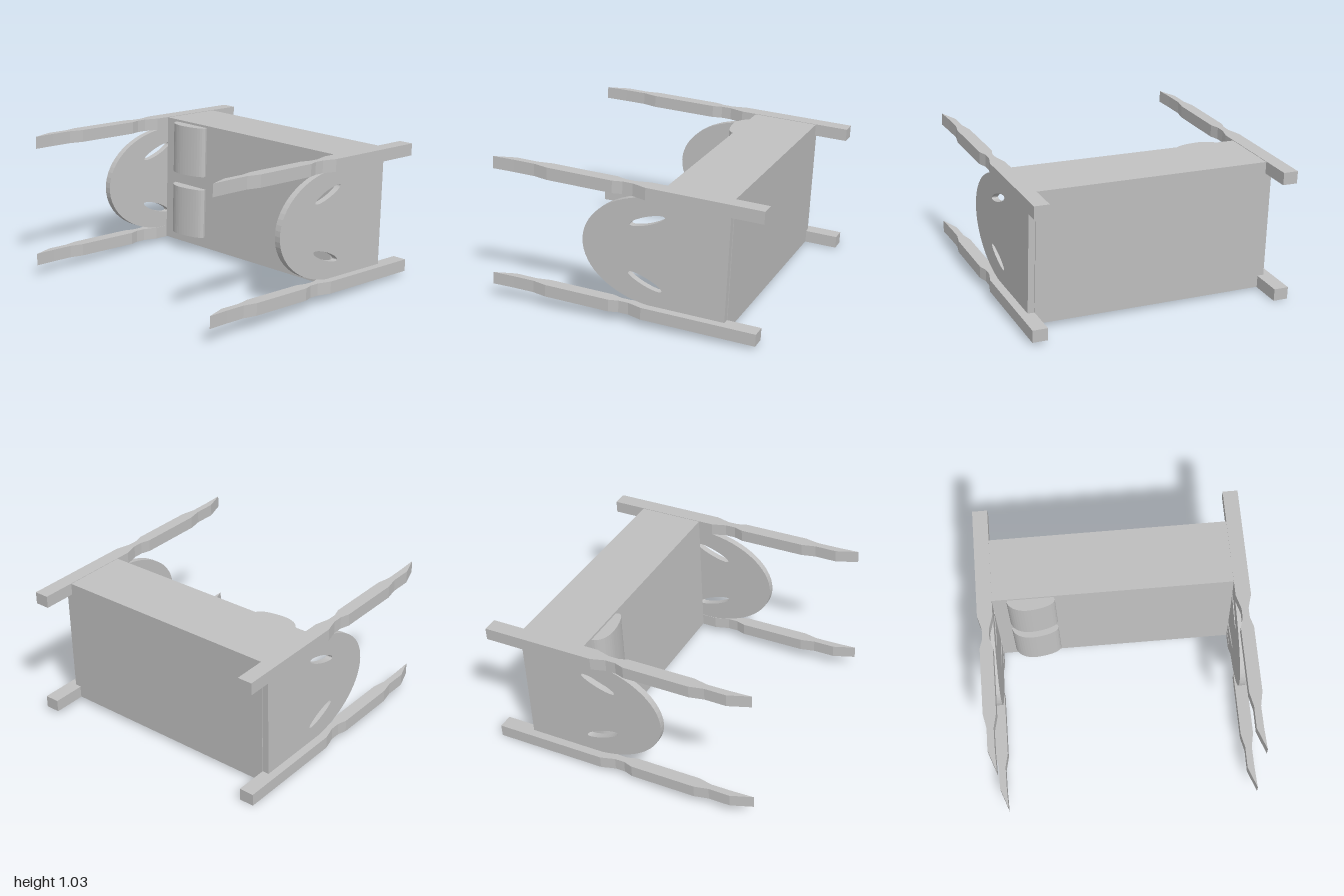
import * as THREE from 'three';

const grey = new THREE.MeshStandardMaterial({ color: 0xc0c0c0 });
grey.name = 'plain grey';

function extrude(shape, depth, curveSegments = 12) {
  const g = new THREE.ExtrudeGeometry(shape, { depth, bevelEnabled: false, curveSegments });
  return g.translate(0, 0, -depth / 2);
}

function addMesh(parent, geometry, name, x = 0, y = 0, z = 0) {
  const mesh = new THREE.Mesh(geometry, grey);
  mesh.name = name;
  mesh.position.set(x, y, z);
  parent.add(mesh);
}

// Post silhouette: square block, two necks, turned body and a chisel tip
function postGeometry() {
  const profile = [
    [0.052, -0.945], [0.052, -0.15], [0.024, -0.05], [0.024, 0.02],
    [0.044, 0.085], [0.044, 0.55], [0.023, 0.65], [0.024, 0.8],
  ];
  const right = profile.map(([w, z]) => new THREE.Vector2(w, z));
  const left = profile.map(([w, z]) => new THREE.Vector2(-w, z)).reverse();
  const shape = new THREE.Shape([...right, new THREE.Vector2(0.03, 0.95), ...left]);
  return extrude(shape, 0.085).rotateX(Math.PI / 2);
}

// End board: straight sides, rounded top and two slanted handle holes
function boardGeometry() {
  const shape = new THREE.Shape();
  shape.moveTo(-0.71, -0.38);
  shape.lineTo(-0.25, -0.38);
  shape.absellipse(-0.25, 0, 0.556, 0.38, -Math.PI / 2, Math.PI / 2, false, 0);
  shape.lineTo(-0.71, 0.38);
  shape.closePath();
  for (const s of [1, -1]) {
    const hole = new THREE.Path();
    hole.absellipse(-0.147, s * 0.213, 0.13, 0.028, 0, Math.PI * 2, true, -s * 0.36);
    shape.holes.push(hole);
  }
  return extrude(shape, 0.045, 16).rotateY(-Math.PI / 2);
}

// Pillow: a flat-backed cushion with its fuller side towards the end board
function pillowGeometry() {
  const shape = new THREE.Shape();
  shape.moveTo(-0.165, -0.02);
  shape.bezierCurveTo(-0.17, 0.05, -0.1, 0.085, -0.03, 0.086);
  shape.bezierCurveTo(0.05, 0.085, 0.165, 0.06, 0.165, 0.02);
  shape.lineTo(0.15, -0.02);
  shape.closePath();
  return extrude(shape, 0.36, 10).rotateX(Math.PI / 2);
}

export function createModel() {
  const model = new THREE.Group();
  model.name = 'bed';

  // The bed rests on its long side, slightly tilted
  const bed = new THREE.Group();
  bed.name = 'tiltedBed';
  bed.position.set(-0.014, 0.513, 0);
  bed.rotation.set(-0.045, -0.04, 0.011);
  model.add(bed);

  // Mattress block
  addMesh(bed, new THREE.BoxGeometry(1.64, 0.915, 0.459), 'mattress', 0, 0, -0.4845);

  const post = postGeometry();
  const board = boardGeometry();
  for (const s of [1, -1]) {
    const end = s > 0 ? 'foot' : 'head';
    addMesh(bed, board, end + 'Board', s * 0.844, 0, 0);
    for (const t of [1, -1]) {
      addMesh(bed, post, end + (t > 0 ? 'UpperPost' : 'LowerPost'), s * 0.871, t * 0.418, 0);
    }
  }

  // Pair of pillows at the head end
  const pillow = pillowGeometry();
  addMesh(bed, pillow, 'upperPillow', -0.56, 0.262, -0.255);
  addMesh(bed, pillow, 'lowerPillow', -0.56, -0.197, -0.255);

  return model;
}
